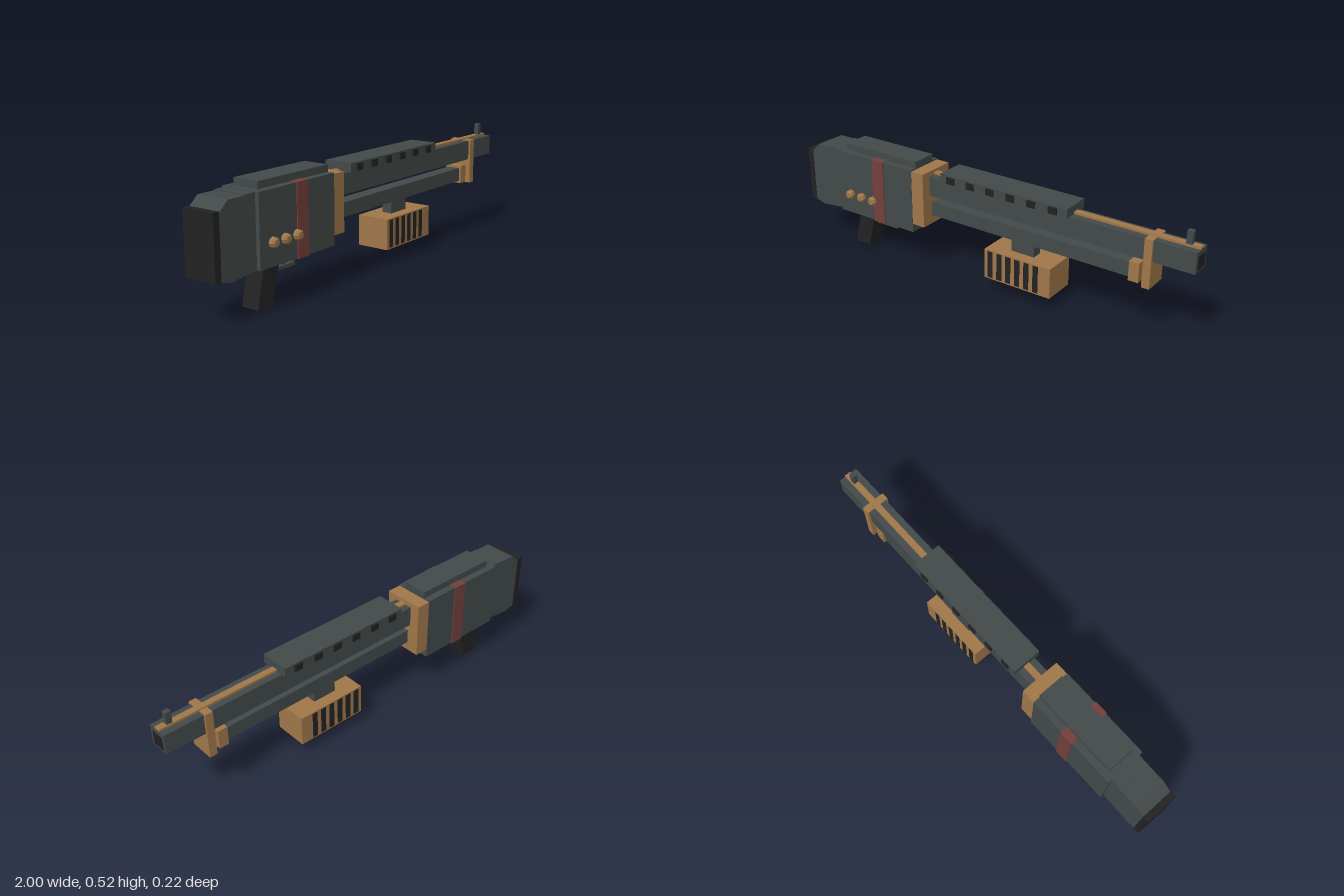
import * as THREE from 'three';

const mat = (name, color) => {
  const m = new THREE.MeshStandardMaterial({ color, flatShading: true });
  m.name = name;
  return m;
};

export function createModel() {
  const steel = mat('gunmetal', 0x424a49);
  const wood = mat('tan', 0xa0774a);
  const red = mat('dark red', 0x733f3b);
  const black = mat('black', 0x222222);

  const root = new THREE.Group();
  root.name = 'longGun';
  // Everything is symmetric about this depth, except the side knobs
  const body = new THREE.Group();
  body.name = 'body';
  body.position.z = -0.009;
  root.add(body);

  const add = (name, geometry, material) => {
    const mesh = new THREE.Mesh(geometry, material);
    mesh.name = name;
    body.add(mesh);
    return mesh;
  };
  // Box from x and y ranges and a half depth, centred at depth z
  const box = (name, material, x0, x1, y0, y1, half, z = 0) => {
    const mesh = add(name, new THREE.BoxGeometry(x1 - x0, y1 - y0, half * 2), material);
    mesh.position.set((x0 + x1) / 2, (y0 + y1) / 2, z);
    return mesh;
  };
  // Side profile extruded symmetrically in depth
  const profile = (name, material, points, half) => {
    const shape = new THREE.Shape(points.map(([x, y]) => new THREE.Vector2(x, y)));
    const geometry = new THREE.ExtrudeGeometry(shape, { depth: half * 2, bevelEnabled: false });
    geometry.translate(0, 0, -half);
    return add(name, geometry, material);
  };

  // Butt pad and stock with a stepped underside
  box('buttPad', black, -1, -0.97, 0.175, 0.44, 0.0775);
  const stock = [[-0.97, 0.178], [-0.925, 0.166]];
  for (let i = 0; i < 5; i++) {
    const x = -0.925 + 0.028 * (i + 1);
    stock.push([x, 0.166 + 0.003 * i], [x, 0.169 + 0.003 * i]);
  }
  stock.push([-0.785, 0.478], [-0.84, 0.478], [-0.84, 0.474], [-0.925, 0.474], [-0.97, 0.435]);
  profile('stock', steel, stock, 0.0765);

  // Receiver, top plate, band and front collar
  box('receiver', steel, -0.785, -0.345, 0.178, 0.48, 0.094);
  box('topPlate', steel, -0.755, -0.345, 0.48, 0.511, 0.062);
  box('receiverBand', red, -0.575, -0.51, 0.175, 0.482, 0.0985);
  box('collar', wood, -0.345, -0.28, 0.219, 0.475, 0.093);

  // Slanted grip
  profile('grip', black, [[-0.75, 0], [-0.665, 0], [-0.622, 0.18], [-0.71, 0.18]], 0.043);

  // Trigger and its guard
  box('guardBar', steel, -0.628, -0.507, 0.121, 0.135, 0.02);
  box('guardFront', steel, -0.518, -0.507, 0.135, 0.18, 0.02);
  box('trigger', steel, -0.57, -0.556, 0.135, 0.18, 0.01);

  // Square barrel with muzzle opening, top strip and sight
  box('barrel', steel, -0.28, 0.998, 0.36, 0.452, 0.0455);
  box('muzzleOpening', black, 0.992, 1, 0.37, 0.431, 0.031);
  box('topStrip', wood, -0.28, 0.998, 0.452, 0.462, 0.0145, -0.002);
  box('frontSight', steel, 0.935, 0.96, 0.46, 0.517, 0.0115);

  // Lower tube, its end cap and the barrel clamp
  box('lowerTube', steel, -0.28, 0.72, 0.259, 0.323, 0.033);
  box('tubeCap', wood, 0.72, 0.765, 0.248, 0.335, 0.043);
  box('barrelClamp', wood, 0.785, 0.82, 0.242, 0.457, 0.0555);

  // Heat shield with side vents
  box('heatShield', steel, -0.2, 0.445, 0.452, 0.493, 0.068);
  for (let i = 0; i < 6; i++) {
    const x = -0.143 + 0.104 * i;
    box('shieldVent', black, x - 0.02, x + 0.02, 0.456, 0.486, 0.0745);
  }

  // Pump handle with grooves on both sides
  box('pumpPost', steel, 0.15, 0.265, 0.203, 0.26, 0.025);
  box('pumpHandle', wood, 0.045, 0.38, 0.063, 0.203, 0.078);
  for (const side of [-1, 1]) {
    for (let i = 0; i < 6; i++) {
      const x = 0.075 + 0.0465 * i;
      box('pumpGroove', black, x - 0.013, x + 0.013, 0.07, 0.197, 0.002, side * 0.0775);
    }
  }

  // Three knobs on the front side
  for (const x of [-0.716, -0.647, -0.578]) {
    const base = add('knob', new THREE.CylinderGeometry(0.022, 0.022, 0.022, 8), wood);
    base.rotation.x = Math.PI / 2;
    base.position.set(x, 0.275, 0.099);
    const tip = add('knobTip', new THREE.CylinderGeometry(0.014, 0.022, 0.008, 8), wood);
    tip.rotation.x = Math.PI / 2;
    tip.position.set(x, 0.275, 0.114);
  }

  return root;
}
